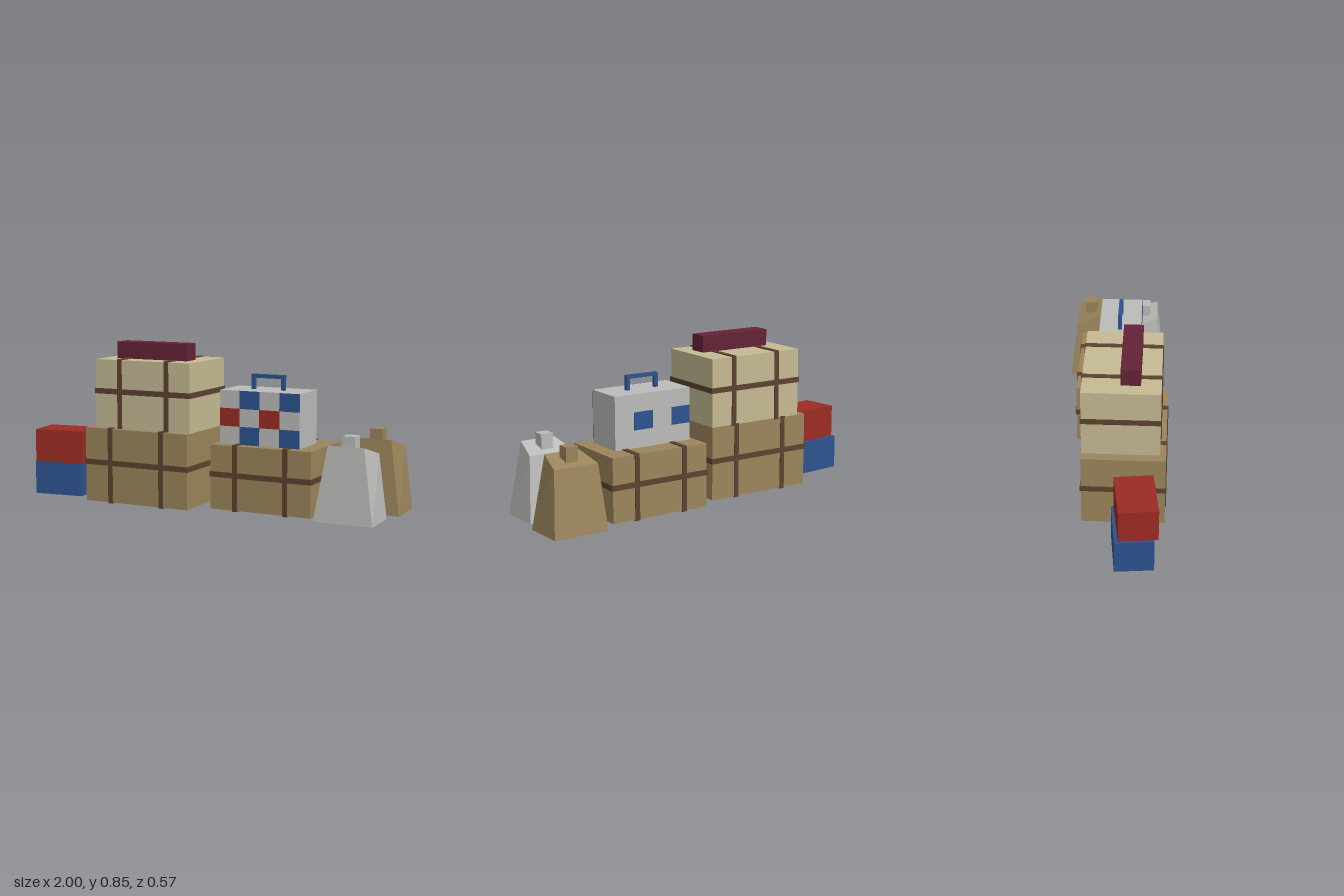
import * as THREE from 'three';

const mat = (name, color) => {
  const m = new THREE.MeshStandardMaterial({ color });
  m.name = name;
  return m;
};

export function createModel() {
  const tan = mat('tan', 0x9b855b);
  const cream = mat('cream', 0xc5ba94);
  const brown = mat('strap brown', 0x5c4230);
  const grey = mat('light grey', 0xbbbbba);
  const red = mat('red', 0x9b2b23);
  const blue = mat('blue', 0x2c5390);
  const maroon = mat('maroon', 0x642236);

  const model = new THREE.Group();
  model.name = 'luggage';

  const group = (name) => {
    const g = new THREE.Group();
    g.name = name;
    model.add(g);
    return g;
  };

  // Box given by its extents on each axis
  const box = (parent, name, material, [x0, x1], [y0, y1], [z0, z1]) => {
    const mesh = new THREE.Mesh(new THREE.BoxGeometry(x1 - x0, y1 - y0, z1 - z0), material);
    mesh.position.set((x0 + x1) / 2, (y0 + y1) / 2, (z0 + z1) / 2);
    mesh.name = name;
    parent.add(mesh);
    return mesh;
  };

  // Trunk with two upright straps and one belt, all slightly proud of the body
  const trunk = (name, material, x, y, z, strapXs, beltY) => {
    const g = group(name);
    const grow = ([a, b]) => [a - 0.005, b + 0.005];
    box(g, 'trunkBody', material, x, y, z);
    for (const s of strapXs) box(g, 'uprightStrap', brown, [s - 0.013, s + 0.013], grow(y), grow(z));
    box(g, 'belt', brown, grow(x), [beltY - 0.014, beltY + 0.014], grow(z));
  };
  trunk('largeTrunk', tan, [-0.628, -0.022], [0.005, 0.396], [-0.138, 0.282], [-0.478, -0.175], 0.215);
  trunk('upperTrunk', cream, [-0.58, -0.022], [0.396, 0.757], [-0.137, 0.252], [-0.435, -0.158], 0.591);
  trunk('smallTrunk', tan, [0.062, 0.62], [0.005, 0.34], [-0.207, 0.182], [0.2, 0.48], 0.187);

  // Long narrow case on top of the tall stack
  box(model, 'narrowCase', maroon, [-0.508, -0.092], [0.757, 0.845], [0.053, 0.152]);

  // Checked case
  const checked = group('checkedCase');
  const X0 = 0.09, X1 = 0.535, Y0 = 0.34, Y1 = 0.618, ZB = -0.091, ZF = 0.129;
  box(checked, 'caseBody', grey, [X0, X1], [Y0, Y1], [ZB, ZF]);
  const cw = (X1 - X0) / 4, ch = (Y1 - Y0) / 3;
  for (let row = 0; row < 3; row++) {
    for (let col = 0; col < 4; col++) {
      const middle = row === 1;
      if ((col % 2 === 0) !== middle) continue;
      const x = [X0 + col * cw, X0 + (col + 1) * cw];
      const y = [Y0 + row * ch, Y0 + (row + 1) * ch];
      box(checked, 'frontCheck', middle ? red : blue, x, y, [ZF - 0.001, ZF + 0.002]);
      if (middle) box(checked, 'backCheck', blue, x, y, [ZB - 0.002, ZB + 0.001]);
    }
  }
  // Carrying handle
  const hz = [0.008, 0.029];
  box(checked, 'handlePost', blue, [0.219, 0.239], [Y1, 0.677], hz);
  box(checked, 'handlePost', blue, [0.386, 0.406], [Y1, 0.677], hz);
  box(checked, 'handleBar', blue, [0.219, 0.406], [0.677, 0.696], hz);

  // Two small boxes, each turned slightly
  const lower = box(model, 'lowerBox', blue, [-0.991, -0.714], [0.005, 0.185], [0.03, 0.225]);
  lower.rotation.y = 0.1;
  const upper = box(model, 'upperBox', red, [-0.978, -0.702], [0.185, 0.36], [0.045, 0.24]);
  upper.rotation.y = 0.125;

  // Tapered bag: a box whose corners narrow upward to a top that slopes to the back
  const bagGeometry = () => {
    const g = new THREE.BoxGeometry(2, 2, 2).toNonIndexed();
    const p = g.attributes.position;
    for (let i = 0; i < p.count; i++) {
      const sx = p.getX(i), top = p.getY(i) > 0, front = p.getZ(i) > 0;
      const half = top ? (front ? 0.095 : 0.12) : (front ? 0.155 : 0.148);
      const y = top ? (front ? 0.384 : 0.34) : 0.005;
      const z = top ? (front ? 0.207 : 0.064) : (front ? 0.241 : 0.02);
      p.setXYZ(i, sx * half, y, z);
    }
    g.computeVertexNormals();
    return g;
  };
  const bag = (name, material, x, z) => {
    const g = group(name);
    const body = new THREE.Mesh(bagGeometry(), material);
    body.name = 'bagBody';
    g.add(body);
    box(g, 'bagGrip', material, [-0.033, 0.033], [0.34, 0.43], [0.104, 0.168]);
    g.position.set(x, 0, z);
  };
  bag('greyBag', grey, 0.814, 0);
  bag('tanBag', tan, 0.842, -0.306);

  return model;
}
